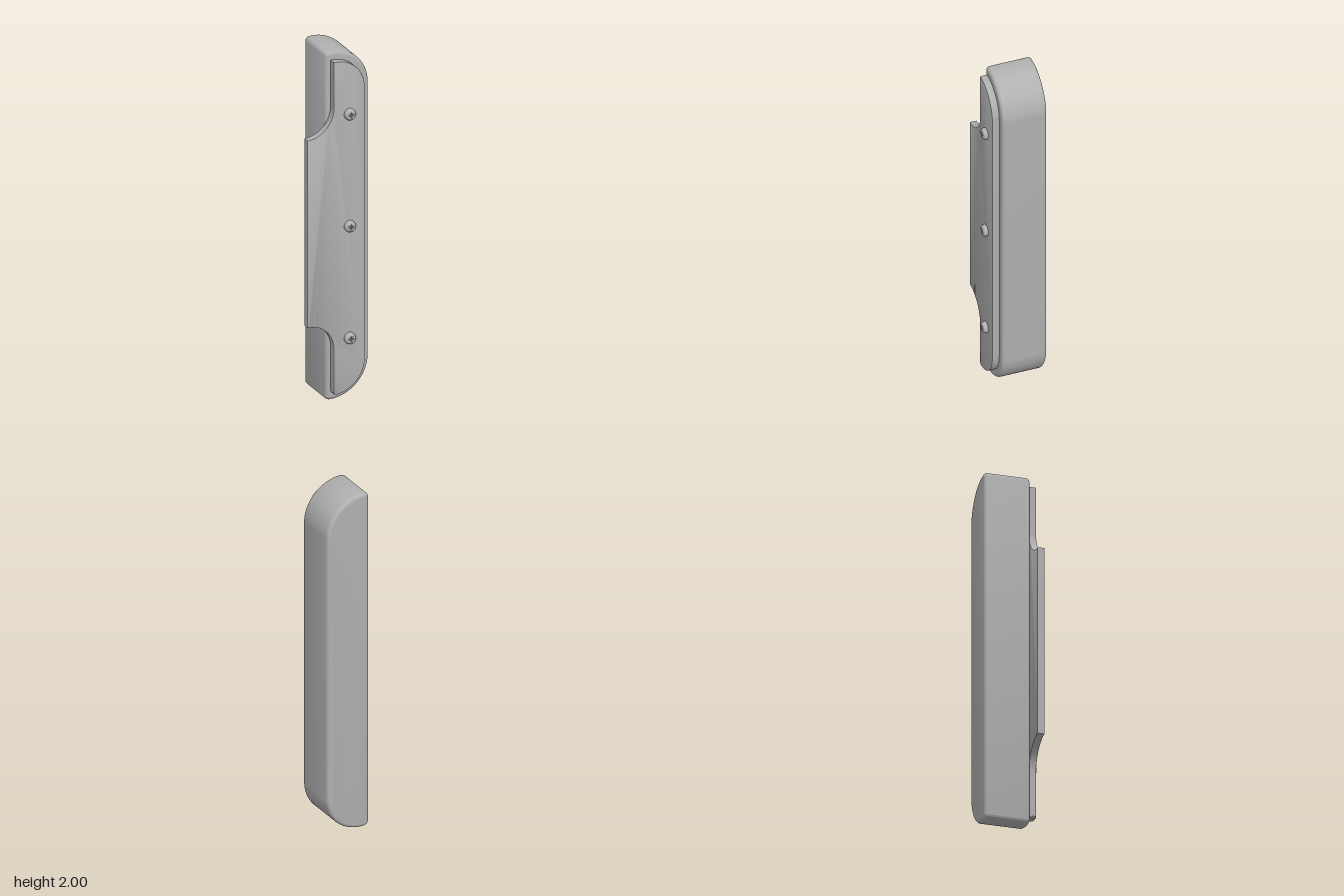
import * as THREE from 'three';
import { toCreasedNormals } from 'three/addons/utils/BufferGeometryUtils.js';

const PI = Math.PI;

// Extrude a shape between two z values, with its bevel kept inside the outline
function slab(shape, z0, z1, bevel, segments) {
  const geo = new THREE.ExtrudeGeometry(shape, {
    depth: z1 - z0 - 2 * bevel,
    bevelEnabled: bevel > 0,
    bevelThickness: bevel,
    bevelSize: bevel,
    bevelOffset: -bevel,
    bevelSegments: segments,
    curveSegments: 20,
  });
  geo.translate(0, 0, z0 + bevel);
  return toCreasedNormals(geo, 0.6);
}

// D-shaped outline of the thick body
function bodyShape() {
  const s = new THREE.Shape();
  s.moveTo(0.19, 0.22);
  s.lineTo(0.19, 1.78);
  s.absarc(-0.03, 1.78, 0.22, 0, PI / 2, false);
  s.absarc(-0.037, 1.972, 0.028, PI / 2, PI, false);
  s.absarc(-0.037, 0.028, 0.028, PI, 1.5 * PI, false);
  s.absarc(-0.03, 0.22, 0.22, 1.5 * PI, 2 * PI, false);
  return s;
}

// Plate outline: inset D with a wide tab joined by concave quarter arcs
function plateShape() {
  const s = new THREE.Shape();
  s.moveTo(0.145, 0.22);
  s.lineTo(0.145, 1.78);
  s.absarc(-0.03, 1.78, 0.175, 0, PI / 2, false);
  s.lineTo(-0.037, 1.955);
  s.lineTo(-0.037, 1.692);
  s.absarc(-0.192, 1.692, 0.155, 0, -PI / 2, true);
  s.lineTo(-0.192, 0.463);
  s.absarc(-0.192, 0.308, 0.155, PI / 2, 0, true);
  s.lineTo(-0.037, 0.055);
  s.lineTo(-0.03, 0.045);
  s.absarc(-0.03, 0.22, 0.175, 1.5 * PI, 2 * PI, false);
  return s;
}

// Pan-head screw with a cross recess, facing +z from its seat at z = 0
function createScrew(material) {
  const screw = new THREE.Group();
  const profile = [[0.032, -0.004], [0.032, 0.009], [0.0312, 0.014], [0.0285, 0.019], [0.0245, 0.0225], [0.019, 0.024]];
  const rim = new THREE.LatheGeometry(profile.map(([r, h]) => new THREE.Vector2(r, h)), 32);
  rim.rotateX(PI / 2);
  const head = new THREE.Mesh(rim, material);
  head.name = 'screwHead';

  const face = new THREE.Shape().absarc(0, 0, 0.019, 0, 2 * PI, false);
  const a = 0.015, b = 0.0035;
  const cross = [[a, b], [b, b], [b, a], [-b, a], [-b, b], [-a, b], [-a, -b], [-b, -b], [-b, -a], [b, -a], [b, -b], [a, -b]];
  face.holes.push(new THREE.Path(cross.map(([x, y]) => new THREE.Vector2(x, y))));
  const top = new THREE.Mesh(slab(face, 0.012, 0.024, 0, 1), material);
  top.name = 'screwCrossRecess';

  const floor = new THREE.Mesh(new THREE.CircleGeometry(0.019, 24), material);
  floor.position.z = 0.0125;
  floor.name = 'screwRecessFloor';
  screw.add(head, top, floor);
  return screw;
}

export function createModel() {
  const model = new THREE.Group();
  model.name = 'boltedEdgeGuard';
  const grey = new THREE.MeshStandardMaterial({ color: 0xb0b0b0 });
  grey.name = 'plain grey';

  const body = new THREE.Mesh(slab(bodyShape(), -0.158, 0.093, 0.02, 5), grey);
  body.name = 'body';

  const plate = new THREE.Mesh(slab(plateShape(), 0.093, 0.133, 0.003, 2), grey);
  plate.name = 'frontPlate';
  model.add(body, plate);

  // Three screws along the plate
  [0.357, 1, 1.643].forEach((y, i) => {
    const screw = createScrew(grey);
    screw.name = `screw${i + 1}`;
    screw.position.set(0.054, y, 0.133);
    model.add(screw);
  });
  return model;
}
